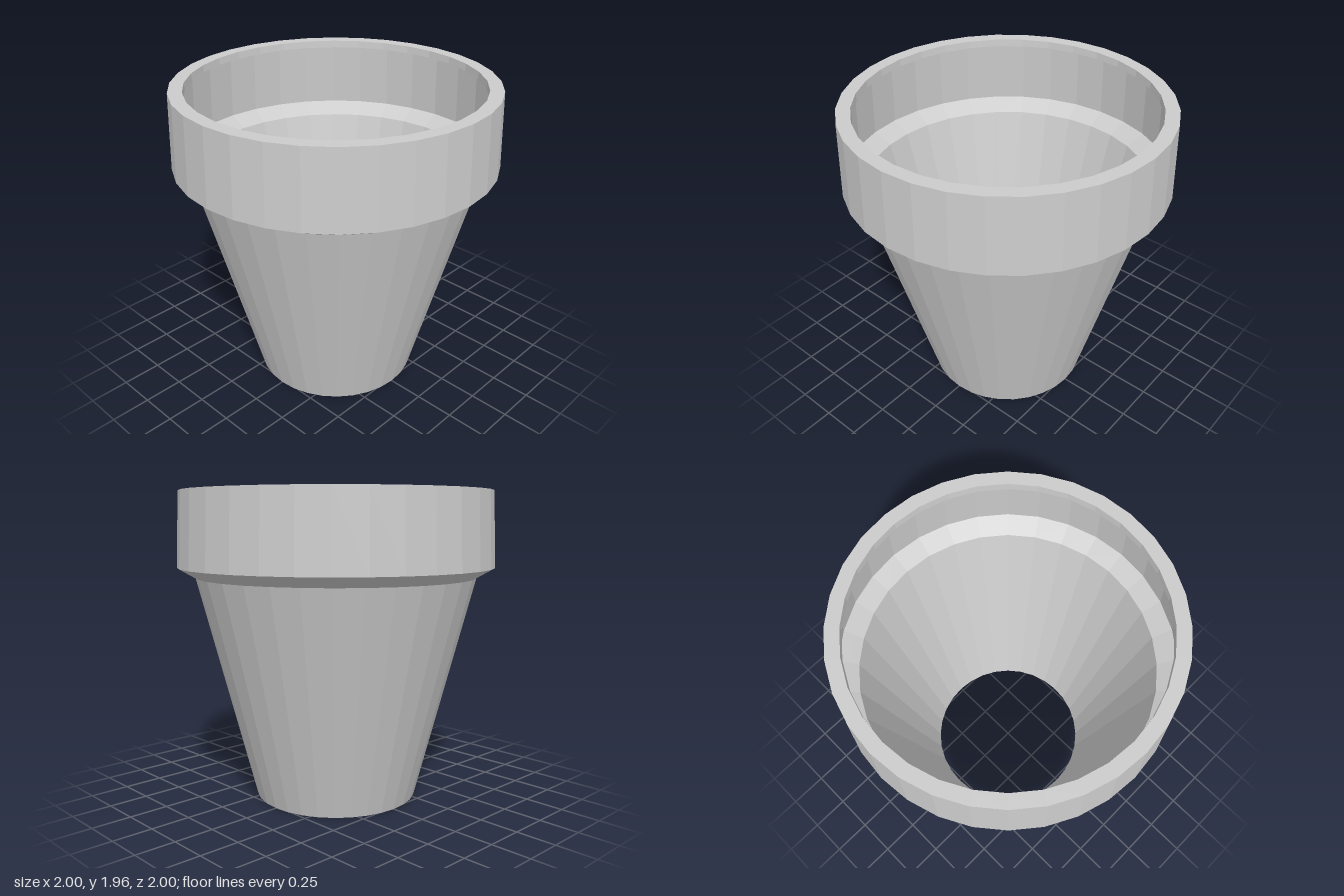
import * as THREE from 'three';

const SIDES = 32;

export function createModel() {
  const pot = new THREE.Group();
  pot.name = 'flowerPot';
  const clay = new THREE.MeshStandardMaterial({
    color: 0xcccccc, flatShading: true, side: THREE.DoubleSide,
  });

  // Revolves a [radius, height] profile around the y axis
  const addRing = (name, profile) => {
    const points = profile.map(([r, y]) => new THREE.Vector2(r, y));
    const mesh = new THREE.Mesh(new THREE.LatheGeometry(points, SIDES), clay);
    mesh.name = name;
    pot.add(mesh);
  };

  // Thin tapering wall, open at the bottom
  addRing('body', [[0.52, 0], [0.888, 1.425]]);
  // Sloped underside joining the body to the collar
  addRing('collarUnderside', [[0.888, 1.425], [1, 1.49]]);
  // Wide band around the top
  addRing('collar', [[1, 1.49], [0.98, 1.96]]);
  // Flat rim with a short lip turned down inside
  addRing('rim', [[0.98, 1.96], [0.896, 1.96]]);
  addRing('innerLip', [[0.896, 1.96], [0.893, 1.915]]);

  return pot;
}
